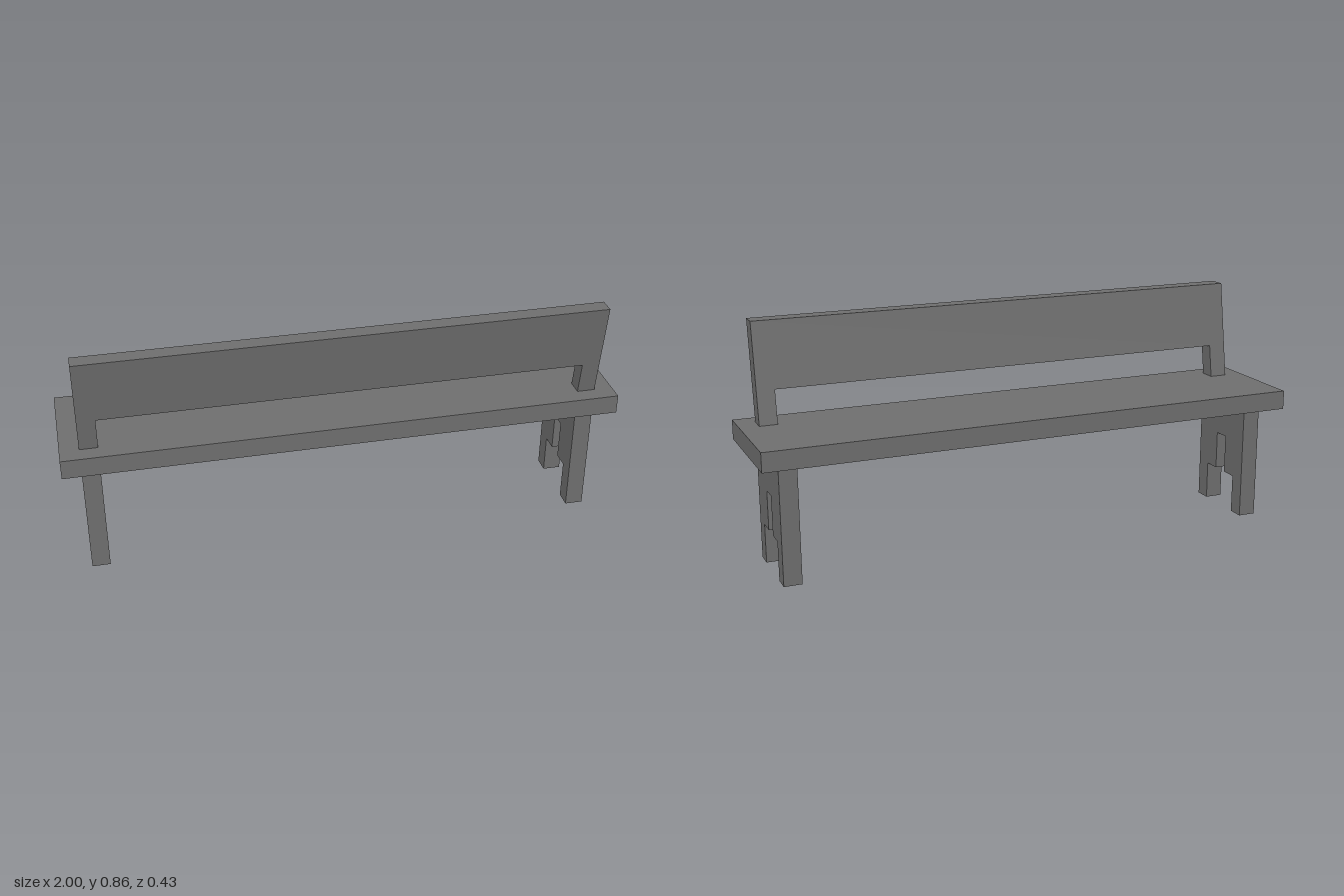
import * as THREE from 'three';

const material = new THREE.MeshStandardMaterial({ color: 0x6f6f6f, flatShading: true });

const SEAT_BOTTOM = 0.43;
const SEAT_TOP = 0.5;
const POST_OUTER = 0.932;
const POST_INNER = 0.867;

function addPart(group, name, geometry) {
  const mesh = new THREE.Mesh(geometry, material);
  mesh.name = name;
  group.add(mesh);
  return mesh;
}

// Mirror half an outline (from the bottom inner corner outwards and up) about the vertical axis.
function mirroredShape(half) {
  const points = half.map(([x, y]) => new THREE.Vector2(x, y));
  const mirrored = half.map(([x, y]) => new THREE.Vector2(-x, y)).reverse();
  return new THREE.Shape([...points, ...mirrored]);
}

// Slab with a stepped notch that leaves two feet
function legGeometry() {
  const shape = mirroredShape([
    [0.03, 0.287], [0.03, 0.143], [0.092, 0.143], [0.092, 0],
    [0.153, 0], [0.153, SEAT_BOTTOM],
  ]);
  const depth = POST_OUTER - POST_INNER;
  const geometry = new THREE.ExtrudeGeometry(shape, { depth, bevelEnabled: false });
  return geometry.translate(0, 0, -depth / 2).rotateY(-Math.PI / 2);
}

// Wide board on two posts, sheared so that it leans outwards
function backrestGeometry() {
  const top = 0.857;
  const shape = mirroredShape([
    [POST_INNER, 0.62], [POST_INNER, SEAT_TOP], [POST_OUTER, SEAT_TOP], [POST_OUTER, top],
  ]);
  const geometry = new THREE.ExtrudeGeometry(shape, { depth: 0.06, bevelEnabled: false });
  const position = geometry.attributes.position;
  for (let i = 0; i < position.count; i++) {
    const rise = (position.getY(i) - SEAT_TOP) / (top - SEAT_TOP);
    position.setZ(i, position.getZ(i) + 0.093 + 0.057 * rise);
  }
  geometry.computeVertexNormals();
  return geometry;
}

export function createModel() {
  const bench = new THREE.Group();
  bench.name = 'bench';

  // Seat plank
  const seat = addPart(bench, 'seat', new THREE.BoxGeometry(2, SEAT_TOP - SEAT_BOTTOM, 0.43));
  seat.position.y = (SEAT_TOP + SEAT_BOTTOM) / 2;

  // Legs
  const leg = legGeometry();
  for (const [name, side] of [['leftLeg', 1], ['rightLeg', -1]]) {
    addPart(bench, name, leg).position.x = side * (POST_OUTER + POST_INNER) / 2;
  }

  addPart(bench, 'backrest', backrestGeometry());

  return bench;
}
